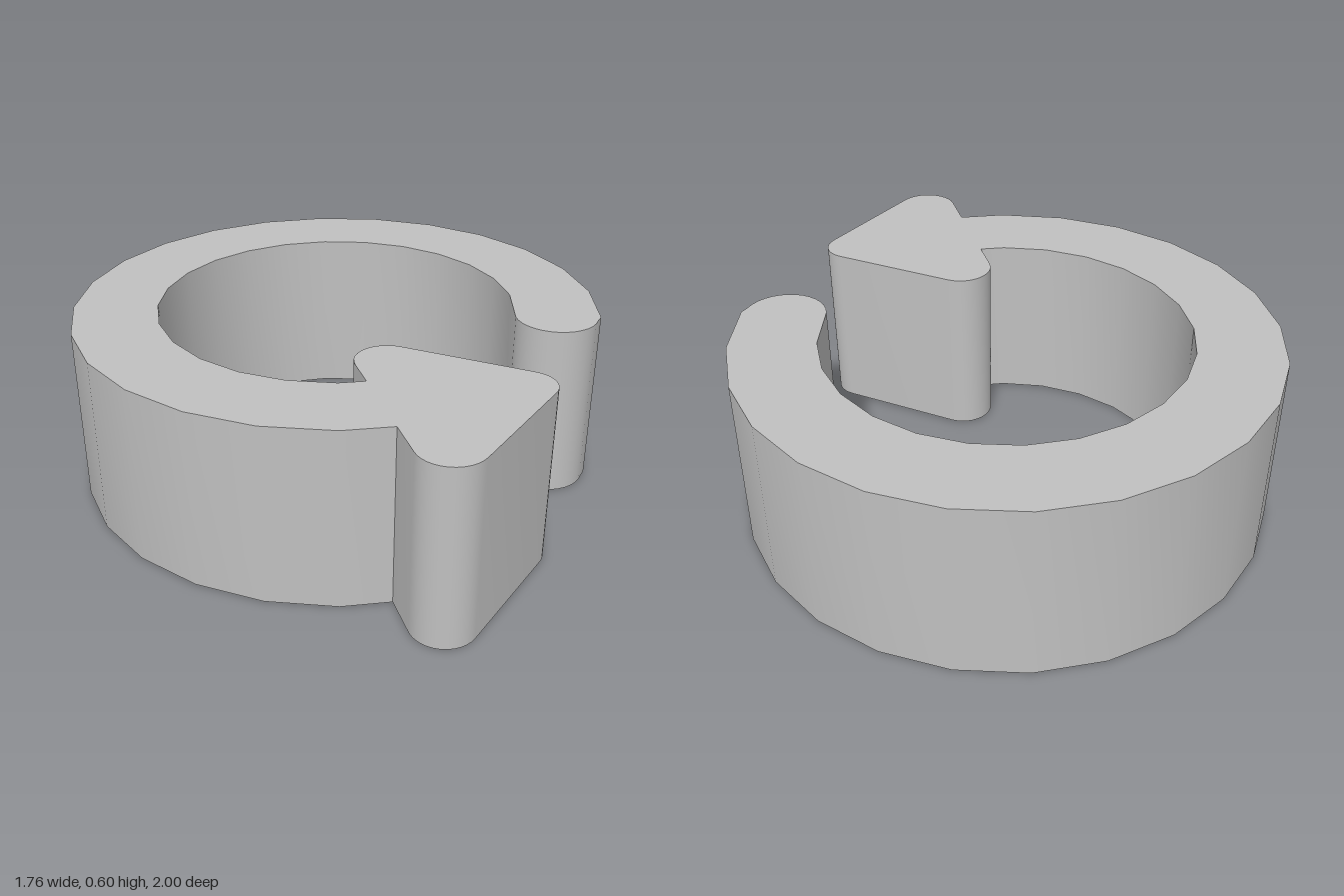
import * as THREE from 'three';
import { toCreasedNormals } from 'three/addons/utils/BufferGeometryUtils.js';

const HEIGHT = 0.595;
const rad = THREE.MathUtils.degToRad;

// Points on an arc in plan (x, z); angle 0 is +x, 90 is +z
function arc(cx, cz, r, from, to, steps) {
  return Array.from({ length: steps + 1 }, (_, i) => {
    const a = rad(from + ((to - from) * i) / steps);
    return [cx + r * Math.cos(a), cz + r * Math.sin(a)];
  });
}

export function createModel() {
  const group = new THREE.Group();
  group.name = 'circularArrow';

  const grey = new THREE.MeshStandardMaterial({ color: 0xc0c0c0 });
  grey.name = 'grey';

  // Coarse ring, centred at (0, -0.12), from the arrowhead round to the tail
  const step = 14.7, start = -93.1 - 11 * step, end = -93.1 + 8 * step;
  const ring = (r) => arc(0, -0.12, r, start, end, 19);

  const outline = [
    [-0.075, 0.755],
    ...ring(0.884),                             // outer wall
    ...arc(0.67, 0.19, 0.137, 35, 190, 14),     // rounded tail
    ...ring(0.602).reverse().slice(1),          // inner wall
    [-0.075, 0.473],
    ...arc(0.03, 0.357, 0.105, 180, 310, 12),   // inner barb
    ...arc(0.37, 0.625, 0.09, -50, 50, 10),     // rounded tip
    ...arc(0.03, 0.895, 0.105, 50, 180, 12),    // outer barb
  ];

  // Plan outline extruded upwards
  const shape = new THREE.Shape(outline.map(([x, z]) => new THREE.Vector2(x, -z)));
  const geometry = new THREE.ExtrudeGeometry(shape, { depth: HEIGHT, bevelEnabled: false });
  geometry.rotateX(-Math.PI / 2);

  const arrow = new THREE.Mesh(toCreasedNormals(geometry, rad(30)), grey);
  arrow.name = 'curvedArrowBody';
  group.add(arrow);
  return group;
}
